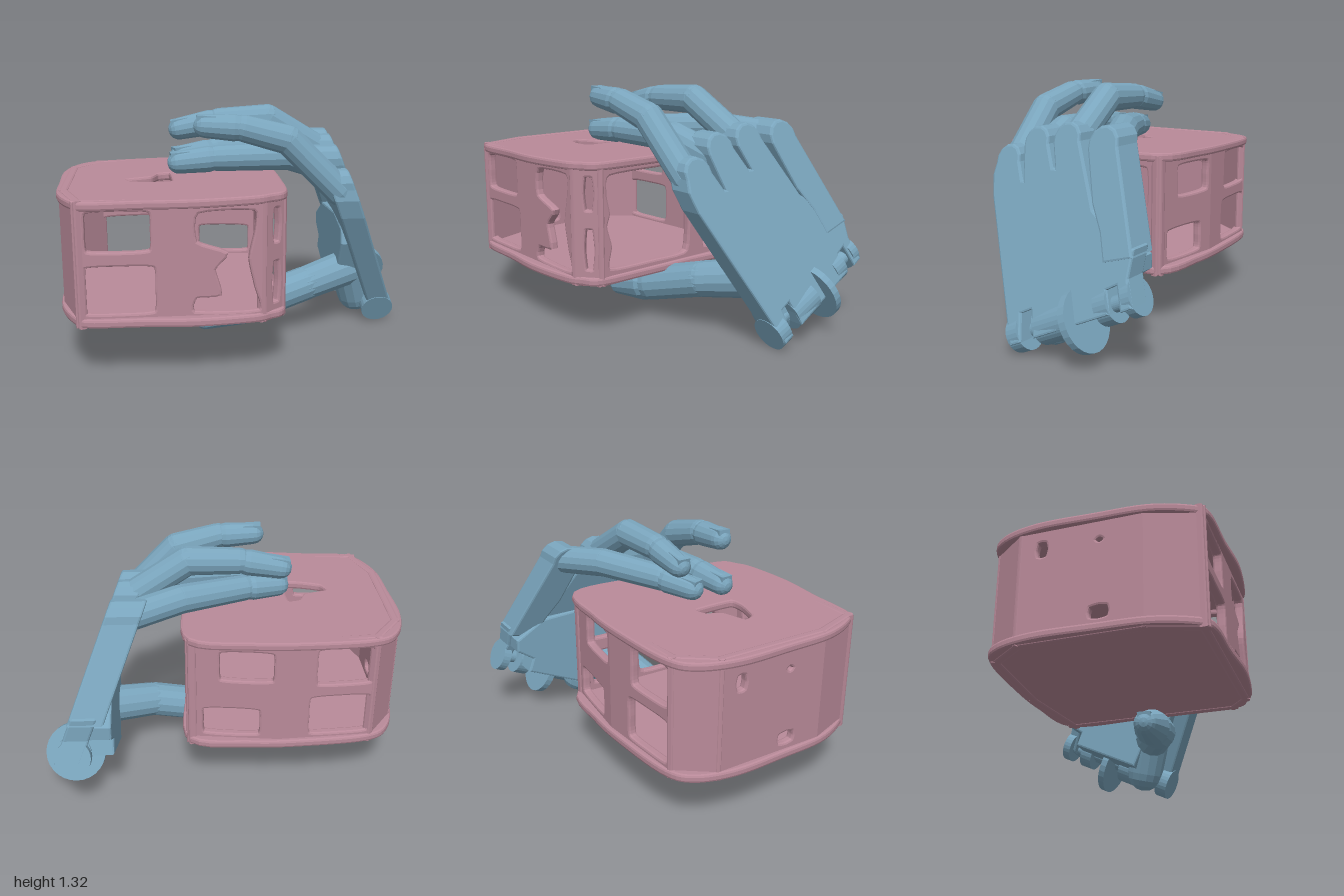
import * as THREE from 'three';

const V = (x, y, z) => new THREE.Vector3(x, y, z);
const pink = new THREE.MeshStandardMaterial({ color: 0xb98a99, side: THREE.DoubleSide });
const blue = new THREE.MeshStandardMaterial({ color: 0x7aa5bd, flatShading: true });

function add(parent, name, geometry, material) {
  const mesh = new THREE.Mesh(geometry, material);
  mesh.name = name;
  parent.add(mesh);
  return mesh;
}

// closed smooth loop through a few 2D points
function loop(points, tension = 0.3, count = 48) {
  const c = new THREE.CatmullRomCurve3(points.map(([x, y]) => V(x, y, 0)), true, 'catmullrom', tension);
  return c.getPoints(count).slice(0, -1).map(p => new THREE.Vector2(p.x, p.y));
}

const bevel = (depth, size) => ({
  depth, bevelEnabled: true, bevelSize: size, bevelThickness: size, bevelSegments: 2, curveSegments: 8,
});

// ---- hollow box ----
const outline = [[-0.98, -0.15], [-0.92, -0.36], [-0.79, -0.45], [-0.45, -0.485], [-0.15, -0.485], [0.18, -0.42],
  [0.195, 0.0], [0.195, 0.3], [0.18, 0.57], [0.1, 0.64], [0, 0.68], [-0.28, 0.705], [-0.55, 0.685],
  [-0.8, 0.675], [-0.88, 0.62], [-0.96, 0.42], [-0.975, 0.15]];

function boxPlate(parent, name, y, hole) {
  const shape = new THREE.Shape(loop(outline, 0.5, 96));
  if (hole) shape.holes.push(new THREE.Path(loop(hole)));
  const g = new THREE.ExtrudeGeometry(shape, bevel(0.02, 0.013));
  g.rotateX(Math.PI / 2);
  const m = add(parent, name, g, pink);
  m.position.y = y;
  return m;
}

// upright wall from p to q (x, z), outside on the right of travel; holes are [distance along, height]
function wall(parent, name, p, q, holes = []) {
  const dir = V(q[0] - p[0], 0, q[1] - p[1]);
  const len = dir.length();
  dir.normalize();
  const shape = new THREE.Shape([[0, 0.32], [len, 0.32], [len, 0.955], [0, 0.955]]
    .map(a => new THREE.Vector2(...a)));
  holes.forEach(h => shape.holes.push(new THREE.Path(loop(h))));
  const g = new THREE.ExtrudeGeometry(shape, bevel(0.025, 0.012));
  g.translate(0, 0, -0.037);
  const out = V(-dir.z, 0, dir.x);
  g.applyMatrix4(new THREE.Matrix4().makeBasis(dir, V(0, 1, 0), out).setPosition(p[0], 0, p[1]));
  add(parent, name, g, pink);
}

const rect = (a, b, c, d) => [[a, c], [(a + b) / 2, c - 0.01], [b, c], [b + 0.01, (c + d) / 2],
  [b, d], [(a + b) / 2, d + 0.01], [a, d], [a - 0.01, (c + d) / 2]];

function buildBox() {
  const box = new THREE.Group();
  box.name = 'hollowBox';
  boxPlate(box, 'boxTop', 0.965,
    [[-0.63, 0.14], [-0.5, 0.09], [-0.46, 0.01], [-0.38, 0], [-0.37, 0.24], [-0.46, 0.26], [-0.6, 0.22]])
    .rotation.z = 0.018;
  boxPlate(box, 'boxBottom', 0.348);

  const A = [-0.87, 0.665], B = [0.07, 0.67], C = [0.19, 0.57], D = [0.19, -0.425];
  const M = [-0.3, -0.48], E = [-0.82, -0.445], F = [-0.965, -0.25], G = [-0.965, 0.39];
  wall(box, 'frontWall', A, B, [
    rect(0.05, 0.37, 0.70, 0.91), rect(0.03, 0.39, 0.38, 0.63),
    [[0.58, 0.37], [0.92, 0.37], [0.9, 0.5], [0.87, 0.65], [0.9, 0.8], [0.89, 0.91],
      [0.6, 0.9], [0.59, 0.74], [0.74, 0.68], [0.68, 0.6], [0.71, 0.47], [0.59, 0.46]],
  ]);
  wall(box, 'frontCorner', B, C, [rect(0.06, 0.115, 0.4, 0.62), rect(0.06, 0.115, 0.72, 0.9)]);
  wall(box, 'rightWall', C, D, [
    [[0.05, 0.39], [0.35, 0.38], [0.6, 0.39], [0.62, 0.6], [0.6, 0.9], [0.35, 0.92], [0.05, 0.91],
      [0.03, 0.8], [0.05, 0.7], [0.03, 0.63], [0.06, 0.52]],
    rect(0.72, 0.92, 0.4, 0.6), rect(0.72, 0.92, 0.68, 0.9),
  ]);
  wall(box, 'backWall', D, M, [rect(0.17, 0.46, 0.72, 0.90), rect(0.08, 0.39, 0.38, 0.55)]);
  wall(box, 'backWall', M, E, [rect(0.2, 0.5, 0.69, 0.91), rect(0.17, 0.5, 0.38, 0.62)]);
  wall(box, 'backCorner', E, F);
  wall(box, 'leftWall', F, G, [
    rect(0.37, 0.47, 0.39, 0.46), rect(0.09, 0.15, 0.77, 0.86), rect(0.4, 0.44, 0.8, 0.83),
  ]);
  wall(box, 'leftFrontCorner', G, A);
  return box;
}

// ---- mechanical hand ----
// rounded knuckle end in (z, y), from the thumb side over the top
const lobe = (z, y, r) => [-0.3, 0.2, 0.7, 1.2, 1.7, 2.2, 2.7, 3.2]
  .map(a => [z + r * Math.cos(a), y + r * Math.sin(a)]);

// flat outline in (z, y); the outside leans with the back of the hand,
// the inside runs parallel to it or, given innerX, stands upright there
const slope = (y, z) => 0.985 - 0.38 * y - 0.08 * z;
function slab(parent, name, points, outer, thick, innerX) {
  const shape = new THREE.Shape(points.map(([z, y]) => new THREE.Vector2(-z, y)));
  const g = new THREE.ExtrudeGeometry(shape, bevel(thick - 0.024, 0.012));
  g.translate(0, 0, outer - thick + 0.012);
  g.rotateY(Math.PI / 2);
  const p = g.attributes.position;
  for (let i = 0; i < p.count; i++) {
    const x = p.getX(i), upright = innerX !== undefined && x < outer - thick / 2;
    p.setX(i, upright ? innerX + x - outer + thick : x + slope(p.getY(i), p.getZ(i)));
  }
  g.computeVertexNormals();
  add(parent, name, g, blue);
}

// round-ended tapered segment from a to b
function segment(parent, name, a, b, ra, rb) {
  const d = b.clone().sub(a), len = d.length(), pts = [];
  for (let i = 0; i <= 4; i++) {
    const t = -Math.PI / 2 + i * Math.PI / 8;
    pts.push(new THREE.Vector2(Math.max(0.0001, Math.cos(t) * ra), Math.sin(t) * ra));
  }
  for (let i = 0; i <= 4; i++) {
    const t = i * Math.PI / 8;
    pts.push(new THREE.Vector2(Math.max(0.0001, Math.cos(t) * rb), len + Math.sin(t) * rb));
  }
  const m = add(parent, name, new THREE.LatheGeometry(pts, 14), blue);
  m.position.copy(a);
  m.quaternion.setFromUnitVectors(V(0, 1, 0), d.normalize());
}

function finger(parent, name, path, radii) {
  const g = new THREE.Group();
  g.name = name;
  const p = path.map(a => V(...a));
  for (let i = 0; i < 3; i++) {
    // the last segment starts a little late, leaving the joint gap
    const a = i === 2 ? p[2].clone().lerp(p[3], 0.2) : p[i];
    const b = i === 2 ? p[3].clone().lerp(p[2], 0.16) : p[i + 1];
    segment(g, ['proximalSegment', 'middleSegment', 'fingertip'][i], a, b, radii[i], radii[i + 1]);
  }
  // fingernail, sunk into the top of the tip
  const nail = add(g, 'fingernail', new THREE.BoxGeometry(0.1, 0.03, 0.07), blue);
  const dir = p[3].clone().sub(p[2]).normalize();
  nail.quaternion.setFromUnitVectors(V(-1, 0, 0), dir);
  nail.position.copy(p[3]).addScaledVector(dir, -0.045).add(V(0, radii[3] * 0.68, 0));
  parent.add(g);
}

function buildHand() {
  const hand = new THREE.Group();
  hand.name = 'hand';
  // back of the hand with three knuckle lobes and the hinge notches at the wrist
  slab(hand, 'handBack', [[-0.03, 0.09], [0.31, 0.76], [0.34, 0.86], ...lobe(0.265, 0.94, 0.072),
    [0.14, 0.84], [0.11, 0.84], ...lobe(0.09, 1.045, 0.072), [-0.05, 0.92], [-0.09, 0.92],
    ...lobe(-0.11, 1.075, 0.075), [-0.36, 0.76], [-0.52, 0.66], [-0.64, 0.62], [-0.64, 0.5], [-0.69, 0.39],
    [-0.65, 0.37], [-0.6, 0.48], [-0.53, 0.44], [-0.57, 0.34], [-0.17, 0.155], [-0.12, 0.28], [-0.04, 0.24],
    [-0.075, 0.11]], 0, 0.14);
  slab(hand, 'littleFingerBase', [[-0.64, 0.6], ...lobe(-0.35, 1.07, 0.08).reverse(), [-0.37, 0.8],
    [-0.45, 0.68], [-0.5, 0.56]], 0.005, 0.19);
  // thick wedge of the palm towards the wrist
  slab(hand, 'palm', [[-0.05, 0.25], [0.1, 0.55], [0.08, 0.63], [-0.1, 0.68], [-0.45, 0.66], [-0.62, 0.56],
    [-0.62, 0.5], [-0.52, 0.43], [-0.55, 0.35], [-0.18, 0.18], [-0.13, 0.29]], -0.1, 0.1, 0.59);

  const f = [0.08, 0.08, 0.072, 0.062];
  finger(hand, 'indexFinger', [[0.53, 0.9, 0.275], [0.24, 1.19, 0.29], [0, 1.255, 0.29], [-0.24, 1.27, 0.28]], f);
  finger(hand, 'middleFinger', [[0.5, 1.0, 0.1], [0.27, 1.08, 0.14], [-0.13, 1.08, 0.18], [-0.38, 1.06, 0.2]], f);
  finger(hand, 'ringFinger', [[0.49, 1.07, -0.11], [0.18, 1.26, -0.08], [-0.1, 1.25, -0.07], [-0.37, 1.2, -0.07]], f);
  finger(hand, 'littleFinger', [[0.5, 1.07, -0.36], [0.22, 1.1, -0.22], [-0.13, 1.08, -0.05], [-0.36, 1.06, 0.03]], f);
  finger(hand, 'thumb', [[0.68, 0.35, -0.08], [0.4, 0.3, 0.05], [0.06, 0.205, 0.12], [-0.25, 0.13, 0.16]],
    [0.11, 0.1, 0.1, 0.065]);
  segment(hand, 'thumbMount', V(0.7, 0.34, -0.1), V(0.75, 0.16, -0.15), 0.12, 0.11);

  // wrist hinge: barrels, fin and rod across the wrist, from s0 to s1 along the slanted edge
  const axis = V(0, 0.42, -0.91).normalize();
  const barrel = (name, s0, s1, r, t = 0.09, depth = 0.09) => {
    const s = (s0 + s1) / 2, z = 0.42 * t - 0.91 * s, y = 0.91 * t + 0.42 * s;
    const m = add(hand, name, new THREE.CylinderGeometry(r, r, s1 - s0, 28), blue);
    m.position.set(slope(y, z) - depth, y, z);
    m.quaternion.setFromUnitVectors(V(0, 1, 0), axis);
  };
  [[0.045, 0.12], [0.21, 0.39], [0.59, 0.67], [0.75, 0.8]].forEach(([a, b]) => barrel('wristBarrel', a, b, 0.095));
  barrel('wristRod', 0.1, 0.78, 0.04);
  barrel('wristFin', 0.435, 0.475, 0.165, 0.06, 0.1);
  return hand;
}

export function createModel() {
  const model = new THREE.Group();
  model.name = 'handHoldingBox';
  model.add(buildBox(), buildHand());
  return model;
}
